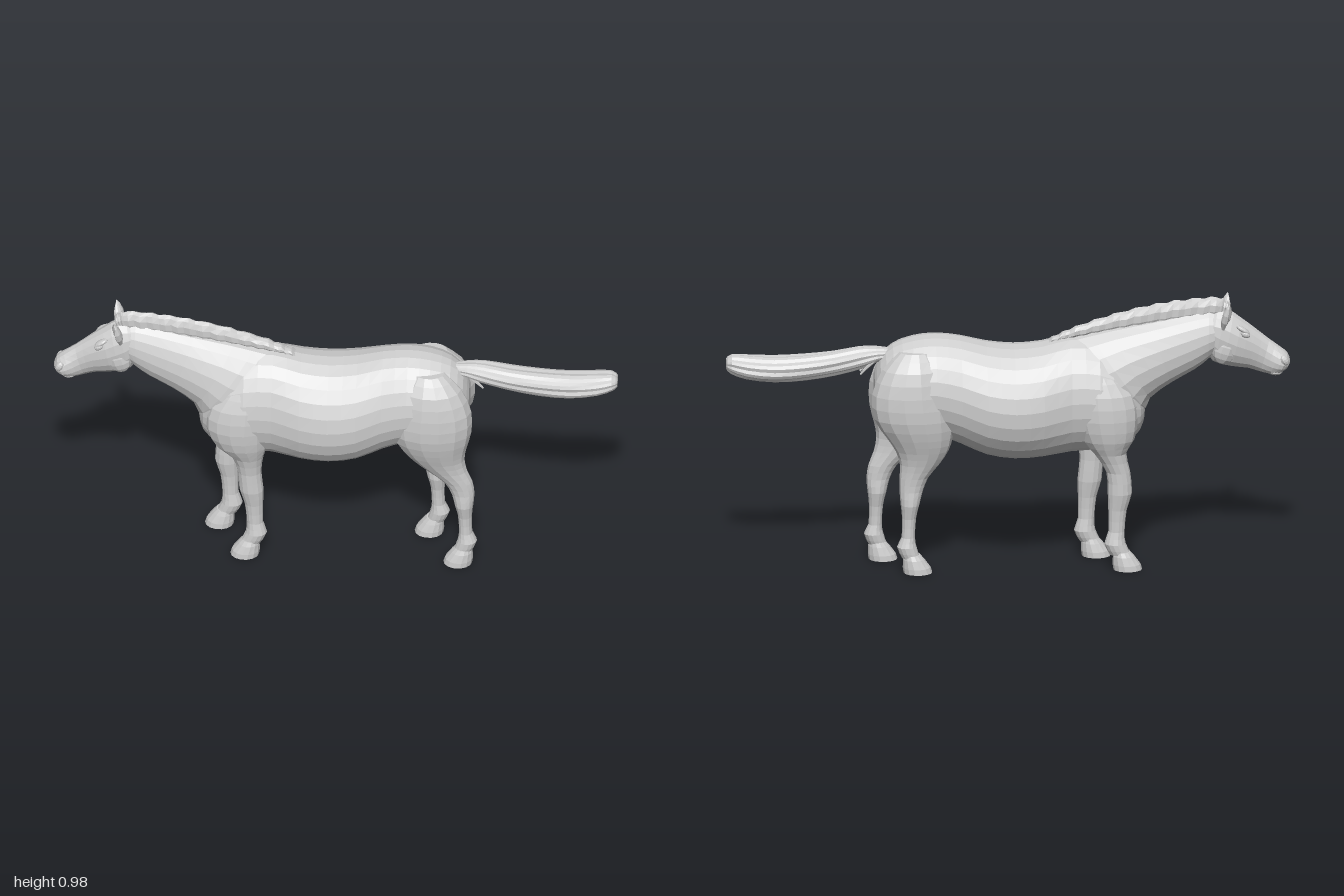
import * as THREE from 'three';

const coat = new THREE.MeshStandardMaterial({ color: 0xcccccc, flatShading: true });
coat.name = 'grey coat';

// Uniform Catmull-Rom blend of one number
function blend(a, b, c, d, t) {
  return 0.5 * (2 * b + (c - a) * t + (2 * a - 5 * b + 4 * c - d) * t * t + (3 * b - a - 3 * c + d) * t * t * t);
}

// Insert smooth sections between the given ones
function refine(rows, steps) {
  const out = [];
  const at = (i) => rows[Math.min(rows.length - 1, Math.max(0, i))];
  for (let i = 0; i < rows.length - 1; i++) {
    for (let s = 0; s < steps; s++) {
      out.push(rows[i].map((_, k) => blend(at(i - 1)[k], at(i)[k], at(i + 1)[k], at(i + 2)[k], s / steps)));
    }
  }
  out.push(at(rows.length - 1));
  return out;
}

// Loft ovals; each row is [ax, ay, bx, by, halfWidth, centreZ]: the oval spans a to b, and halfWidth in z
function loft(name, rows, { steps = 2, sides = 18, egg = 0, ridge = () => 1 } = {}) {
  const rings = refine(rows, steps);
  const pos = [], idx = [];
  rings.forEach(([ax, ay, bx, by, w, cz], r) => {
    for (let i = 0; i < sides; i++) {
      const t = (i / sides) * Math.PI * 2;
      const k = ridge(t, r, i);
      const c = Math.cos(t) * 0.5 * k;
      pos.push((ax + bx) / 2 + (ax - bx) * c, (ay + by) / 2 + (ay - by) * c,
        cz + w * k * Math.sin(t) * (1 - egg * Math.cos(t)));
    }
  });
  const n = rings.length;
  for (let r = 0; r < n - 1; r++) {
    for (let i = 0; i < sides; i++) {
      const a = r * sides + i, b = r * sides + (i + 1) % sides;
      idx.push(a, b, a + sides, b, b + sides, a + sides);
    }
  }
  // End caps
  [0, n - 1].forEach((r) => {
    const [ax, ay, bx, by, , cz] = rings[r];
    const centre = pos.length / 3;
    pos.push((ax + bx) / 2, (ay + by) / 2, cz);
    for (let i = 0; i < sides; i++) {
      const a = r * sides + i, b = r * sides + (i + 1) % sides;
      if (r === 0) idx.push(centre, b, a); else idx.push(centre, a, b);
    }
  });
  // Turn the faces outward if the enclosed volume is negative
  let volume = 0;
  const p = (i) => new THREE.Vector3(pos[i * 3], pos[i * 3 + 1], pos[i * 3 + 2]);
  for (let f = 0; f < idx.length; f += 3) volume += p(idx[f]).dot(p(idx[f + 1]).cross(p(idx[f + 2])));
  if (volume < 0) idx.reverse();
  const g = new THREE.BufferGeometry();
  g.setAttribute('position', new THREE.Float32BufferAttribute(pos, 3));
  g.setIndex(idx);
  g.computeVertexNormals();
  const mesh = new THREE.Mesh(g, coat);
  mesh.name = name;
  return mesh;
}

// Leg from rows of [y, frontX, backX, centreZ, halfWidth]; the stride shift fades out going up
function leg(name, rows, hoofRows, side, shift, low, high) {
  const group = new THREE.Group();
  group.name = name;
  const place = ([y, f, b, z, w]) => {
    const d = shift * (1 - THREE.MathUtils.smoothstep(y, low, high));
    return [f + d, y, b + d, y, w, z * side];
  };
  group.add(loft(name + 'Limb', rows.map(place), { sides: 14 }));
  group.add(loft(name + 'Hoof', hoofRows.map(place), { sides: 14, steps: 1 }));
  return group;
}

function ear(side) {
  const profile = [[0.001, 0], [0.016, 0.012], [0.026, 0.045], [0.024, 0.075], [0.014, 0.1], [0.001, 0.115]];
  const g = new THREE.LatheGeometry(profile.map(([x, y]) => new THREE.Vector2(x, y)), 12);
  const p = g.attributes.position;
  // Hollow the forward side into a cup
  for (let i = 0; i < p.count; i++) {
    const x = p.getX(i), z = p.getZ(i);
    p.setX(i, x < 0 ? x * 0.7 + Math.max(0, 0.022 - Math.abs(z) * 1.3) * Math.min(1, -x * 60) : x * 0.7);
  }
  g.computeVertexNormals();
  const mesh = new THREE.Mesh(g, coat);
  mesh.name = side > 0 ? 'leftEar' : 'rightEar';
  mesh.position.set(-0.762, 0.86, side * 0.042);
  mesh.rotation.set(side * 0.24, side * 0.35, 0.2);
  return mesh;
}

function bump(name, x, y, z, sx, sy, sz, tilt) {
  const mesh = new THREE.Mesh(new THREE.SphereGeometry(1, 10, 7), coat);
  mesh.name = name;
  mesh.position.set(x, y, z);
  mesh.scale.set(sx, sy, sz);
  mesh.rotation.z = tilt;
  return mesh;
}

export function createModel() {
  const horse = new THREE.Group();
  horse.name = 'horse';

  // Trunk, from chest to rump: [x, top, bottom, halfWidth]
  const trunk = [
    [-0.482, 0.62, 0.54, 0.04], [-0.465, 0.69, 0.49, 0.09], [-0.41, 0.77, 0.445, 0.135], [-0.32, 0.83, 0.425, 0.155],
    [-0.22, 0.842, 0.418, 0.155], [-0.12, 0.82, 0.403, 0.178], [-0.02, 0.812, 0.398, 0.187], [0.08, 0.823, 0.415, 0.182],
    [0.17, 0.845, 0.455, 0.162], [0.26, 0.855, 0.49, 0.16], [0.34, 0.846, 0.5, 0.158], [0.41, 0.82, 0.52, 0.135],
    [0.455, 0.775, 0.55, 0.095], [0.475, 0.72, 0.6, 0.05],
  ];
  horse.add(loft('trunk', trunk.map(([x, t, b, w]) => [x, t, x, b, w, 0]), { sides: 24, egg: 0.1 }));

  // Neck
  horse.add(loft('neck', [
    [-0.1, 0.81, -0.3, 0.5, 0.1, 0], [-0.22, 0.84, -0.465, 0.54, 0.125, 0], [-0.36, 0.87, -0.505, 0.61, 0.108, 0],
    [-0.5, 0.893, -0.58, 0.665, 0.084, 0], [-0.62, 0.915, -0.66, 0.71, 0.069, 0], [-0.71, 0.928, -0.705, 0.745, 0.06, 0],
    [-0.76, 0.92, -0.73, 0.77, 0.05, 0],
  ], { egg: 0.18 }));

  // Head, from poll to muzzle
  const head = new THREE.Group();
  head.name = 'head';
  head.add(loft('skull', [
    [-0.72, 0.92, -0.695, 0.79, 0.045, 0], [-0.77, 0.933, -0.725, 0.738, 0.06, 0], [-0.825, 0.897, -0.79, 0.718, 0.06, 0],
    [-0.875, 0.858, -0.85, 0.71, 0.046, 0], [-0.925, 0.817, -0.89, 0.697, 0.036, 0], [-0.965, 0.787, -0.925, 0.688, 0.042, 0],
    [-0.99, 0.765, -0.958, 0.689, 0.043, 0], [-1, 0.738, -0.982, 0.704, 0.028, 0],
  ], { sides: 16 }));
  for (const s of [1, -1]) {
    const n = s > 0 ? 'left' : 'right';
    head.add(ear(s));
    head.add(bump(n + 'Eye', -0.838, 0.848, s * 0.048, 0.018, 0.012, 0.012, 0.5));
    head.add(bump(n + 'Brow', -0.83, 0.864, s * 0.044, 0.027, 0.009, 0.016, 0.55));
    head.add(bump(n + 'Cheek', -0.768, 0.79, s * 0.036, 0.045, 0.055, 0.027, 0.3));
    head.add(bump(n + 'Nostril', -0.978, 0.745, s * 0.034, 0.014, 0.02, 0.014, -0.5));
  }
  head.add(bump('lowerLip', -0.945, 0.697, 0, 0.028, 0.014, 0.03, 0.1));
  horse.add(head);

  // Upright mane of uneven tufts along the crest
  const crest = new THREE.CatmullRomCurve3([[-0.785, 0.95], [-0.755, 0.97], [-0.63, 0.966], [-0.5, 0.947], [-0.35, 0.91],
    [-0.22, 0.865], [-0.145, 0.828]].map(([x, y]) => new THREE.Vector3(x, y, 0)));
  const mane = [];
  for (let i = 0; i <= 36; i++) {
    const q = crest.getPoint(i / 36);
    const base = Math.min(q.y - 0.015, 0.9 - (q.x + 0.75) * 0.14);
    mane.push([q.x, q.y + (i % 3 - 1) * 0.003, q.x + 0.012, base, 0.019 + (i % 2) * 0.005, 0]);
  }
  horse.add(loft('mane', mane, { steps: 1, sides: 10 }));

  // Tail with long strands
  horse.add(loft('tail', [
    [0.42, 0.805, 0.42, 0.765, 0.025, 0], [0.47, 0.812, 0.465, 0.755, 0.036, 0], [0.53, 0.812, 0.51, 0.735, 0.044, 0],
    [0.62, 0.797, 0.61, 0.71, 0.052, 0], [0.72, 0.787, 0.72, 0.692, 0.056, 0], [0.83, 0.782, 0.83, 0.686, 0.057, 0],
    [0.92, 0.787, 0.93, 0.7, 0.053, 0], [0.98, 0.79, 0.985, 0.722, 0.042, 0], [1, 0.775, 1, 0.738, 0.025, 0],
  ], { sides: 24, ridge: (t, r, i) => 0.97 + (i % 3 === 0 ? -0.07 : 0.03) + 0.025 * Math.sin(3 * t + r * 0.7) }));
  for (const s of [1, -1]) {
    horse.add(loft('tailWisp', [[0.47, 0.78, 0.47, 0.76, 0.008, s * 0.02], [0.5, 0.755, 0.5, 0.735, 0.008, s * 0.022],
      [0.527, 0.718, 0.523, 0.712, 0.003, s * 0.02]], { sides: 6 }));
  }

  // Legs; the right ones stand further forward
  const hind = [
    [0.81, 0.28, 0.39, 0.07, 0.04], [0.75, 0.235, 0.45, 0.082, 0.072], [0.66, 0.205, 0.487, 0.088, 0.085],
    [0.57, 0.2, 0.487, 0.091, 0.082], [0.5, 0.235, 0.47, 0.09, 0.068], [0.45, 0.275, 0.463, 0.088, 0.054],
    [0.4, 0.33, 0.472, 0.085, 0.043], [0.35, 0.388, 0.491, 0.083, 0.036], [0.3, 0.415, 0.498, 0.083, 0.033],
    [0.25, 0.427, 0.494, 0.083, 0.037], [0.2, 0.439, 0.489, 0.083, 0.027], [0.13, 0.443, 0.491, 0.084, 0.026],
    [0.095, 0.438, 0.507, 0.085, 0.034], [0.055, 0.425, 0.49, 0.087, 0.03],
  ];
  const fore = [
    [0.73, -0.37, -0.26, 0.085, 0.04], [0.65, -0.44, -0.225, 0.093, 0.062], [0.56, -0.455, -0.225, 0.095, 0.068],
    [0.48, -0.42, -0.235, 0.092, 0.06], [0.43, -0.365, -0.25, 0.088, 0.046], [0.36, -0.343, -0.258, 0.085, 0.037],
    [0.28, -0.336, -0.25, 0.085, 0.037], [0.22, -0.318, -0.252, 0.085, 0.028], [0.14, -0.31, -0.252, 0.085, 0.026],
    [0.095, -0.314, -0.238, 0.086, 0.034], [0.055, -0.333, -0.258, 0.087, 0.03],
  ];
  const hoof = (x) => [[0.066, x + 0.042, x + 0.1, 0.087, 0.032], [0.05, x + 0.028, x + 0.104, 0.088, 0.038],
    [0.02, x + 0.006, x + 0.105, 0.088, 0.044], [0, x, x + 0.102, 0.088, 0.045]];
  horse.add(leg('leftHindLeg', hind, hoof(0.388), 1, 0, 0.34, 0.6));
  horse.add(leg('rightHindLeg', hind, hoof(0.382), -1, -0.108, 0.3, 0.62));
  horse.add(leg('leftForeleg', fore, hoof(-0.368), 1, 0, 0.3, 0.5));
  horse.add(leg('rightForeleg', fore, hoof(-0.372), -1, -0.098, 0.3, 0.56));
  return horse;
}
